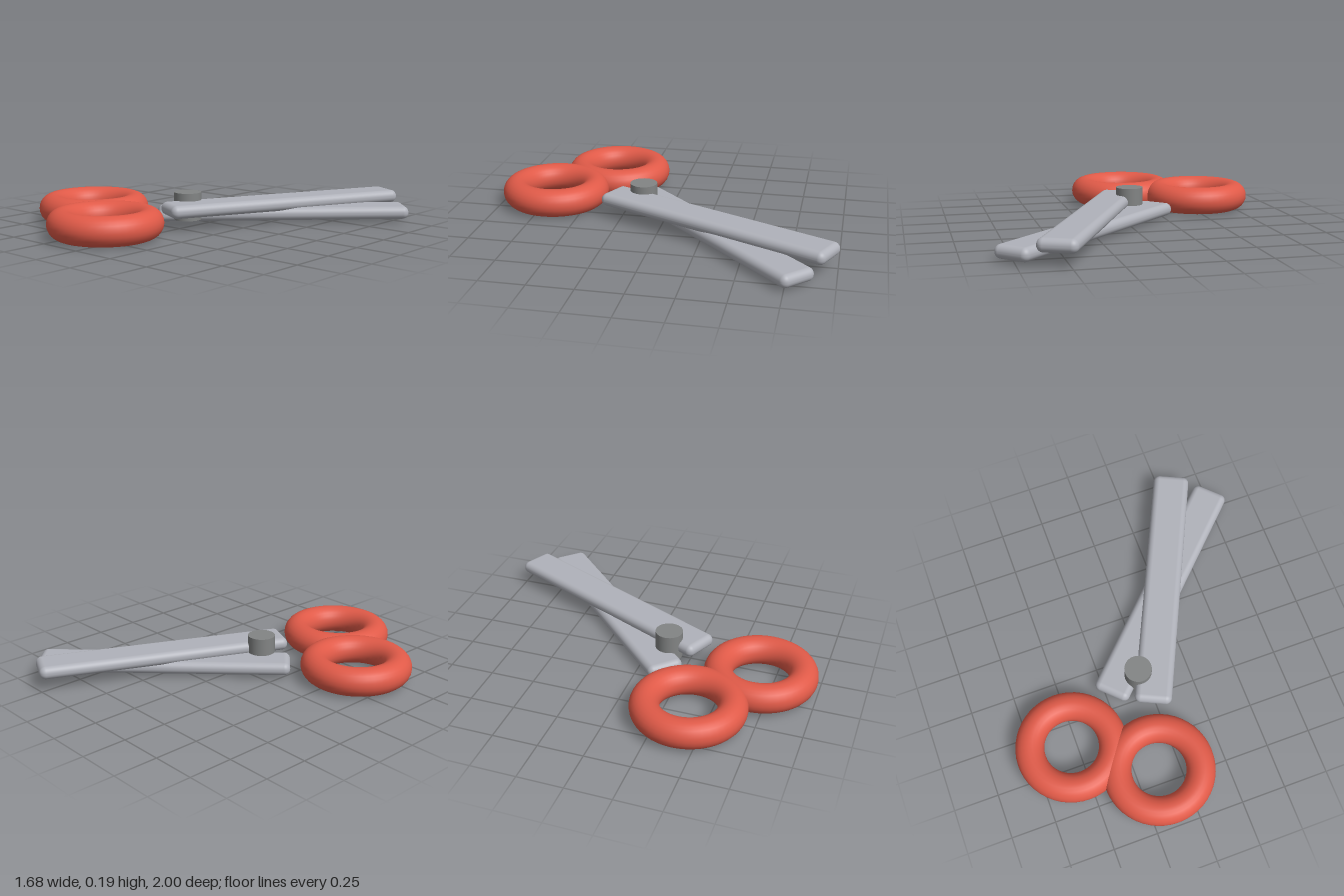
import * as THREE from 'three';
import { RoundedBoxGeometry } from 'three/addons/geometries/RoundedBoxGeometry.js';

export function createModel() {
  const model = new THREE.Group();
  model.name = 'scissors';

  const material = (name, color) => {
    const m = new THREE.MeshStandardMaterial({ color });
    m.name = name;
    return m;
  };
  const red = material('handle red', 0xe05a48);
  const steel = material('blade steel', 0xb0b2ba);
  const darkSteel = material('pivot grey', 0x828484);

  const add = (name, geometry, mat, x, y, z) => {
    const mesh = new THREE.Mesh(geometry, mat);
    mesh.name = name;
    mesh.position.set(x, y, z);
    model.add(mesh);
    return mesh;
  };

  // Two identical rounded bars, stacked and crossed about their middle
  const bladeGeometry = new RoundedBoxGeometry(1.43, 0.073, 0.209, 5, 0.035);
  for (const [name, y, degrees] of [['lowerBlade', 0.054, 45], ['upperBlade', 0.11, 65]]) {
    add(name, bladeGeometry, steel, 0.275, y, -0.322).rotation.y = THREE.MathUtils.degToRad(degrees);
  }

  // Finger rings lying flat
  const ringGeometry = new THREE.TorusGeometry(0.231, 0.08, 24, 48).rotateX(Math.PI / 2);
  add('rightFingerRing', ringGeometry, red, -0.533, 0.082, 0.4);
  add('leftFingerRing', ringGeometry, red, -0.125, 0.082, 0.685);

  // Pivot pin
  add('pivot', new THREE.CylinderGeometry(0.077, 0.077, 0.155, 32), darkSteel, -0.045, 0.1125, 0.135);

  return model;
}
